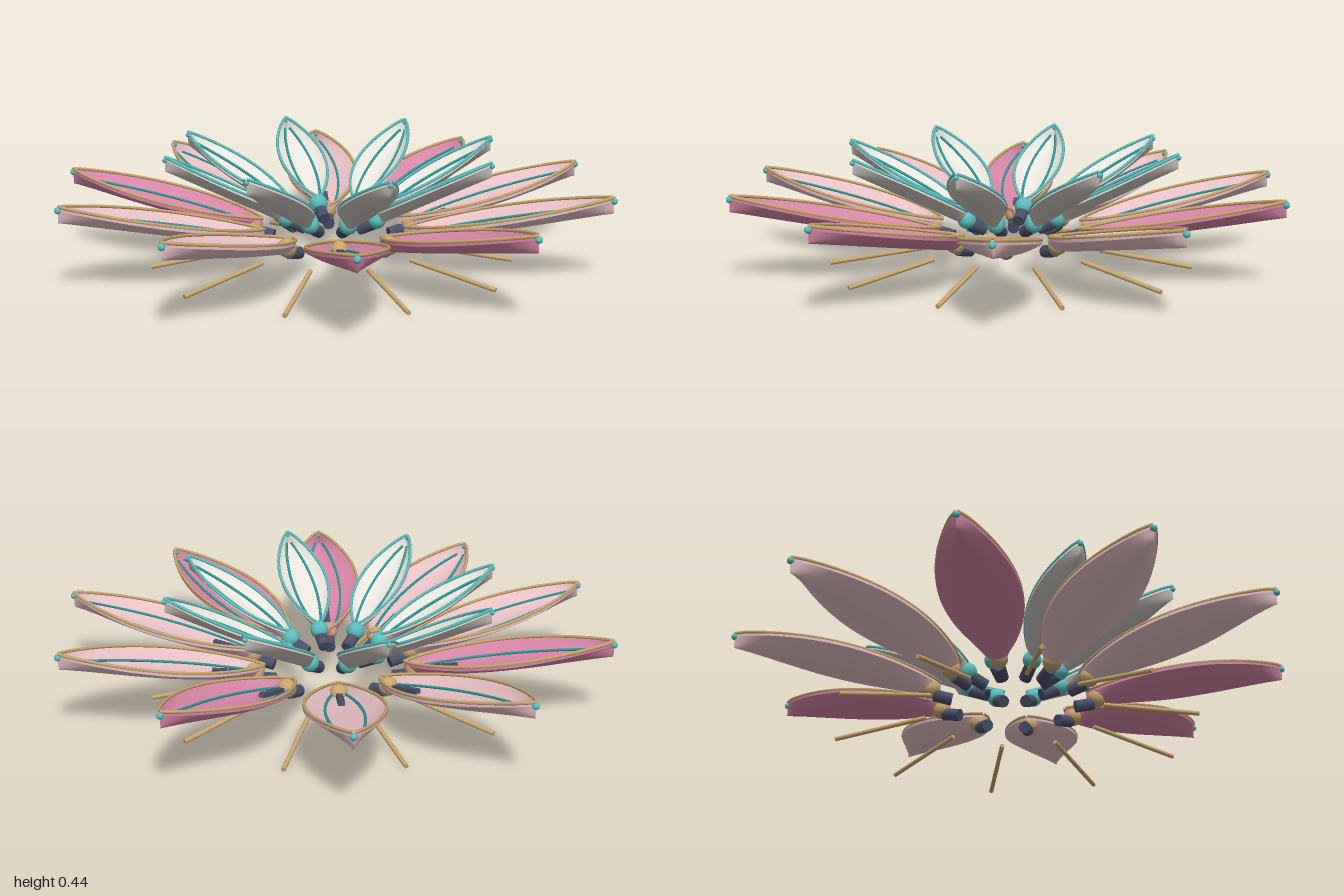
import * as THREE from 'three';
import { mergeGeometries } from 'three/addons/utils/BufferGeometryUtils.js';

const mat = (name, color) => {
  const m = new THREE.MeshStandardMaterial({ color });
  m.name = name;
  return m;
};

// A petal lies along +x: spec gives base and tip radius/height, half width and cup depth.
function petalPoint(s, u, v, drop = 0) {
  const w = s.half * Math.pow(Math.max(0, Math.sin(Math.PI * Math.pow(u, 0.95))), 0.78);
  return new THREE.Vector3(
    THREE.MathUtils.lerp(s.r0, s.r1, u),
    THREE.MathUtils.lerp(s.y0, s.y1, u) + s.cup * v * v - drop,
    w * v
  );
}

// Smooth surface through f(u, w), both 0 to 1
function grid(f, nu, nw) {
  const pos = [], idx = [];
  for (let i = 0; i <= nu; i++)
    for (let j = 0; j <= nw; j++) pos.push(...f(i / nu, j / nw).toArray());
  for (let i = 0; i < nu; i++)
    for (let j = 0; j < nw; j++) {
      const a = i * (nw + 1) + j, b = a + nw + 1;
      idx.push(a, a + 1, b, a + 1, b + 1, b);
    }
  const g = new THREE.BufferGeometry();
  g.setAttribute('position', new THREE.Float32BufferAttribute(pos, 3));
  g.setIndex(idx);
  g.computeVertexNormals();
  return g;
}

// Tube following the petal surface at constant v
function petalLine(s, v, u0, u1, radius, lift) {
  const pts = [];
  for (let i = 0; i <= 24; i++)
    pts.push(petalPoint(s, u0 + ((u1 - u0) * i) / 24, v, -lift));
  return new THREE.TubeGeometry(new THREE.CatmullRomCurve3(pts), 48, radius, 6);
}

// Cylinder between two points
function rod(a, b, radius, sides = 12) {
  const d = new THREE.Vector3().subVectors(b, a);
  const g = new THREE.CylinderGeometry(radius, radius, d.length(), sides);
  g.applyQuaternion(new THREE.Quaternion().setFromUnitVectors(
    new THREE.Vector3(0, 1, 0), d.clone().normalize()));
  const c = a.clone().add(b).multiplyScalar(0.5);
  return g.translate(c.x, c.y, c.z);
}

export function createModel() {
  const model = new THREE.Group();
  model.name = 'flower';

  const blush = mat('blush petal', 0xe6bfc3);
  const rose = mat('rose petal', 0xd585a5);
  const ivory = mat('ivory petal', 0xe6e4dc);
  const ivoryShade = mat('ivory underside', 0xc6c0ba);
  const gold = mat('gold', 0xc9a46e);
  const teal = mat('teal', 0x5cbcbc);
  const vein = mat('vein teal', 0x2f9a98);
  const slate = mat('slate', 0x4b5068);

  const add = (parent, name, geometry, material) => {
    const m = new THREE.Mesh(geometry, material);
    m.name = name;
    parent.add(m);
    return m;
  };
  const V = (x, y) => new THREE.Vector3(x, y, 0);
  const ball = (r, p) => new THREE.SphereGeometry(r, 16, 12).translate(p.x, p.y, p.z);

  // Geometry shared by every petal of a ring
  function petalParts(s) {
    const dir = V(s.r1 - s.r0, s.y1 - s.y0).normalize();
    const t = s.thick;
    const upper = mergeGeometries([
      grid((u, w) => petalPoint(s, u, 2 * w - 1), 32, 12),
      grid((u, w) => petalPoint(s, u, 1, t * w), 32, 1),
      grid((u, w) => petalPoint(s, u, -1, t * (1 - w)), 32, 1)
    ]);
    const lower = grid((u, w) => petalPoint(s, u, 1 - 2 * w, t), 32, 12);

    const parts = [];
    for (const side of [-1, 1]) {
      parts.push(['rim', petalLine(s, side * 0.97, 0, 1, s.rim, 0.004), s.rimMat]);
      parts.push(['vein', petalLine(s, side * 0.46, 0.06, 0.95, 0.005, 0.004), vein]);
    }
    parts.push(['tipBead', ball(s.tipBead, petalPoint(s, 1, 0.85)), teal]);
    parts.push(['baseBead', ball(s.bead, s.beadAt), s.beadMat]);
    parts.push(['hinge', rod(...s.hinge, 0.022), slate]);
    // Short bar lying on the petal centre line
    if (s.bar) {
      const bar = new THREE.BoxGeometry(0.15, 0.016, 0.022);
      bar.rotateZ(Math.atan2(dir.y, dir.x));
      const c = petalPoint(s, 0.16, 0);
      parts.push(['bar', bar.translate(c.x, c.y + 0.01, 0), slate]);
    }
    return { upper, lower, parts };
  }

  function ring(name, count, offset, s, pick) {
    const { upper, lower, parts } = petalParts(s);
    for (let i = 0; i < count; i++) {
      const g = new THREE.Group();
      g.name = name;
      const [top, bottom] = pick(i);
      add(g, 'petalTop', upper, top);
      add(g, 'petalUnderside', lower, bottom);
      for (const [n, geo, m] of parts) add(g, n, geo, m);
      g.rotation.y = offset + (i * Math.PI * 2) / count;
      model.add(g);
    }
  }

  // Wide low outer ring, every third petal in the deeper colour
  ring('outerPetal', 10, 0, {
    r0: 0.26, r1: 0.99, y0: 0.115, y1: 0.262, half: 0.136, cup: 0.043, thick: 0.012,
    rim: 0.006, rimMat: gold, tipBead: 0.012,
    bead: 0.034, beadAt: V(0.298, 0.134), beadMat: gold,
    hinge: [V(0.22, 0.098), V(0.285, 0.112)], bar: true
  }, (i) => (i % 3 === 0 ? [rose, rose] : [blush, blush]));

  // Narrow raised inner ring
  ring('innerPetal', 8, Math.PI / 8, {
    r0: 0.17, r1: 0.605, y0: 0.176, y1: 0.396, half: 0.088, cup: 0.039, thick: 0.01,
    rim: 0.0055, rimMat: teal, tipBead: 0.009,
    bead: 0.033, beadAt: V(0.174, 0.19), beadMat: teal,
    hinge: [V(0.105, 0.148), V(0.17, 0.178)], bar: false
  }, () => [ivory, ivoryShade]);

  // Thin struts sloping down to the ground between the outer petals
  const strut = rod(V(0.32, 0.066), V(0.65, 0.008), 0.008, 10);
  for (let i = 0; i < 10; i++)
    add(model, 'strut', strut, gold).rotation.y = ((i + 0.5) * Math.PI) / 5;

  return model;
}
